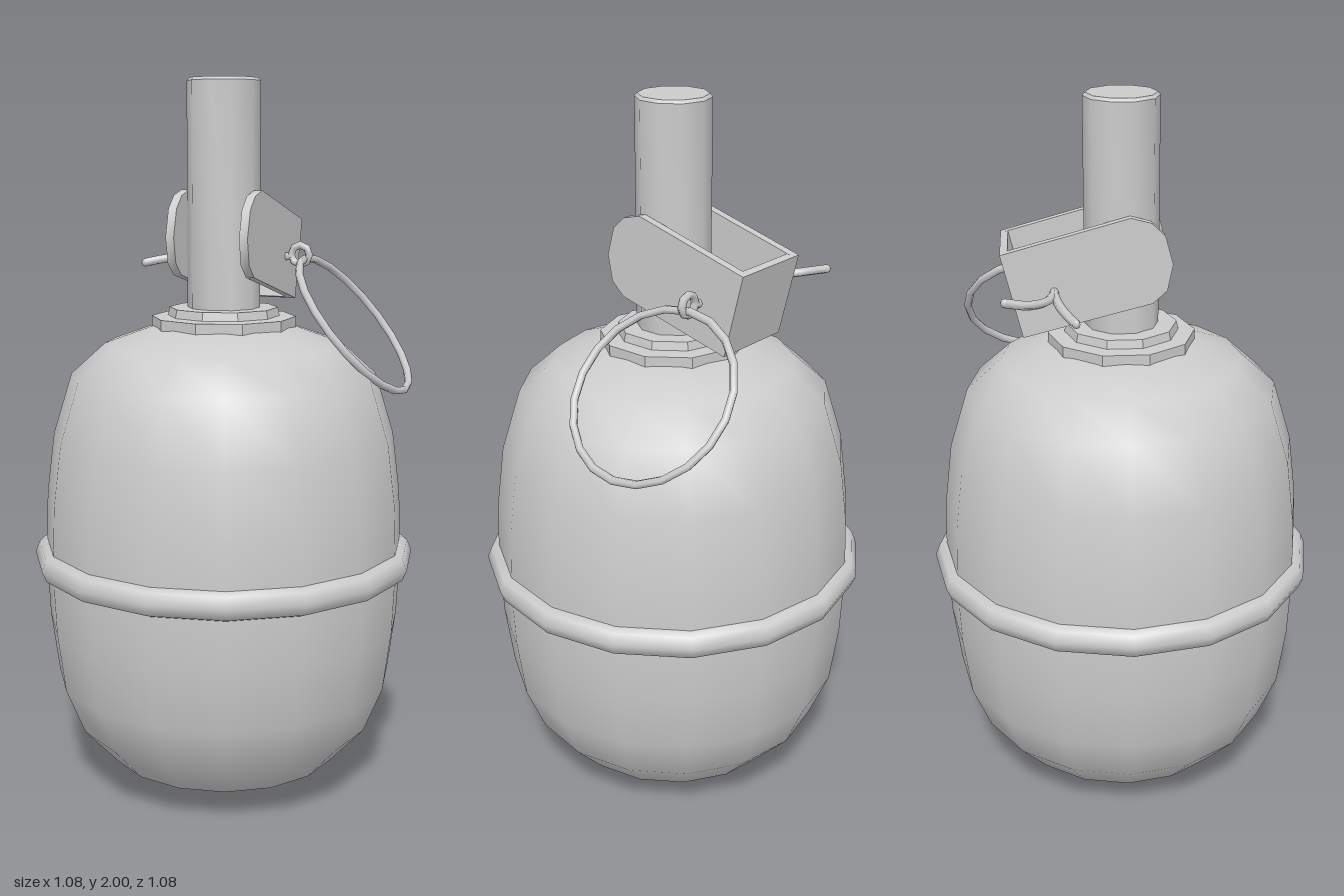
import * as THREE from 'three';
import { toCreasedNormals } from 'three/addons/utils/BufferGeometryUtils.js';

const material = new THREE.MeshStandardMaterial({ color: 0xcccccc });

export function createModel() {
  const model = new THREE.Group();
  const add = (name, geometry, x = 0, y = 0, z = 0) => {
    const mesh = new THREE.Mesh(geometry, material);
    mesh.name = name;
    mesh.position.set(x, y, z);
    model.add(mesh);
    return mesh;
  };
  const lathe = (points, sides) =>
    new THREE.LatheGeometry(points.map(([r, y]) => new THREE.Vector2(r, y)), sides);

  // Egg-shaped body
  add('body', lathe([
    [0, 0.005], [0.18, 0.03], [0.33, 0.095], [0.425, 0.2], [0.478, 0.33], [0.5, 0.5], [0.505, 0.62],
    [0.505, 0.74], [0.5, 0.86], [0.478, 1.03], [0.425, 1.2], [0.33, 1.285], [0.19, 1.335], [0, 1.345],
  ], 16));

  // Band around the middle
  add('band', new THREE.TorusGeometry(0.496, 0.043, 8, 16), 0, 0.685).rotation.x = Math.PI / 2;

  // Stepped collar and stem
  add('collar', toCreasedNormals(lathe([
    [0, 1.31], [0.2, 1.31], [0.2, 1.36], [0.155, 1.362], [0.15, 1.385], [0, 1.385],
  ], 10), 0.5));
  add('stem', toCreasedNormals(lathe([
    [0, 1.36], [0.1, 1.36], [0.1, 1.992], [0.093, 2], [0, 2],
  ], 10), 0.68));

  // Bracket: two side plates (outline in z, y) joined by a back plate
  const outline = [
    [0.016, 1.704], [0.07, 1.69], [0.106, 1.656], [0.127, 1.58], [0.113, 1.51], [0.075, 1.475],
    [-0.265, 1.388], [-0.32, 1.612],
  ];
  const back = [[-0.32, 1.612], [-0.265, 1.388], [-0.245, 1.393], [-0.3, 1.617]];
  const plate = (name, points, x0, x1) => {
    const shape = new THREE.Shape(points.map(([z, y]) => new THREE.Vector2(-z, y)));
    const geometry = new THREE.ExtrudeGeometry(shape, { depth: x1 - x0, bevelEnabled: false });
    geometry.rotateY(Math.PI / 2);
    add(name, toCreasedNormals(geometry, 0.7), x0);
  };
  plate('leftBracketPlate', outline, 0.094, 0.118);
  plate('rightBracketPlate', outline, -0.118, -0.094);
  plate('backBracketPlate', back, -0.094, 0.094);

  // Split pin: shaft, eyelet and two splayed legs
  const tube = (name, points, segments) => {
    const curve = new THREE.CatmullRomCurve3(points.map((p) => new THREE.Vector3(...p)));
    add(name, new THREE.TubeGeometry(curve, segments, 0.012, 6, false));
    for (const t of [0, 1]) {
      const end = add(name + 'End', new THREE.SphereGeometry(0.012, 6, 4));
      end.position.copy(curve.getPoint(t));
    }
  };
  tube('pinShaft', [[-0.15, 1.512, -0.182], [0.13, 1.515, -0.182]], 1);
  tube('rearPinLeg', [
    [-0.14, 1.512, -0.182], [-0.2, 1.513, -0.205], [-0.245, 1.52, -0.25], [-0.267, 1.535, -0.308],
  ], 8);
  tube('frontPinLeg', [
    [-0.14, 1.512, -0.182], [-0.2, 1.505, -0.172], [-0.255, 1.498, -0.155], [-0.3, 1.488, -0.132],
  ], 8);
  add('pinEyelet', new THREE.TorusGeometry(0.027, 0.011, 6, 8), 0.16, 1.52, -0.182);

  // Pull ring hanging from the eyelet
  const ring = add('pullRing', new THREE.TorusGeometry(0.233, 0.011, 6, 20), 0.32, 1.33, -0.195);
  ring.rotation.set(0, Math.PI / 2, 0.69, 'ZYX');

  return model;
}
